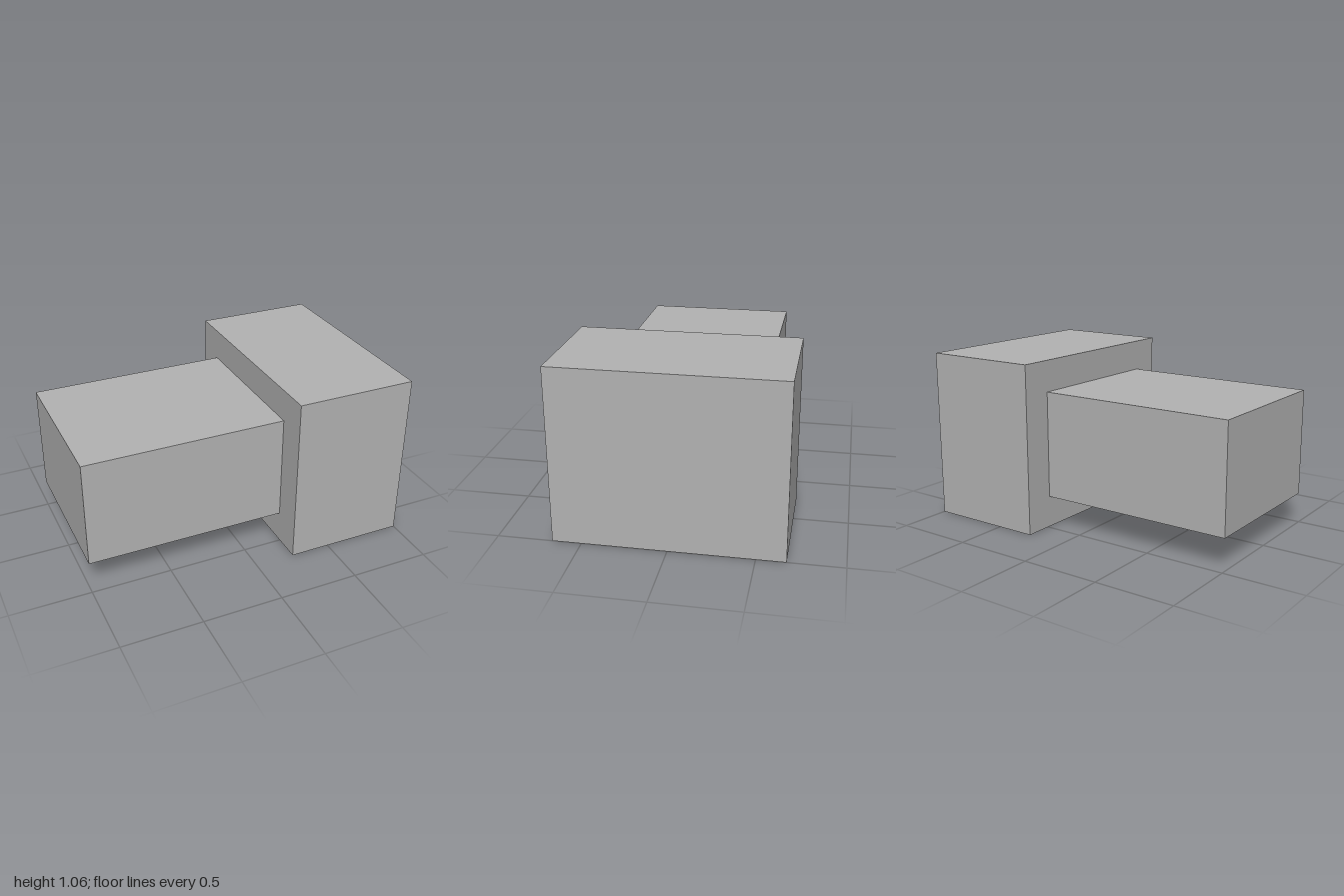
import * as THREE from 'three';

export function createModel() {
  const model = new THREE.Group();
  model.name = 'hammerBlock';

  const grey = new THREE.MeshStandardMaterial({ color: 0xb2b2b2 });
  grey.name = 'grey';

  // Box given by its extents along x and y, and its depth centred on z = 0
  function addBlock(name, x0, x1, y0, y1, depth) {
    const block = new THREE.Mesh(new THREE.BoxGeometry(x1 - x0, y1 - y0, depth), grey);
    block.name = name;
    block.position.set((x0 + x1) / 2, (y0 + y1) / 2, 0);
    model.add(block);
  }

  // Tall end block
  addBlock('head', 0.25, 1, 0, 1.06, 1.345);
  // Long block butting against the middle of the head
  addBlock('shaft', -1, 0.25, 0.197, 0.865, 0.96);

  return model;
}
